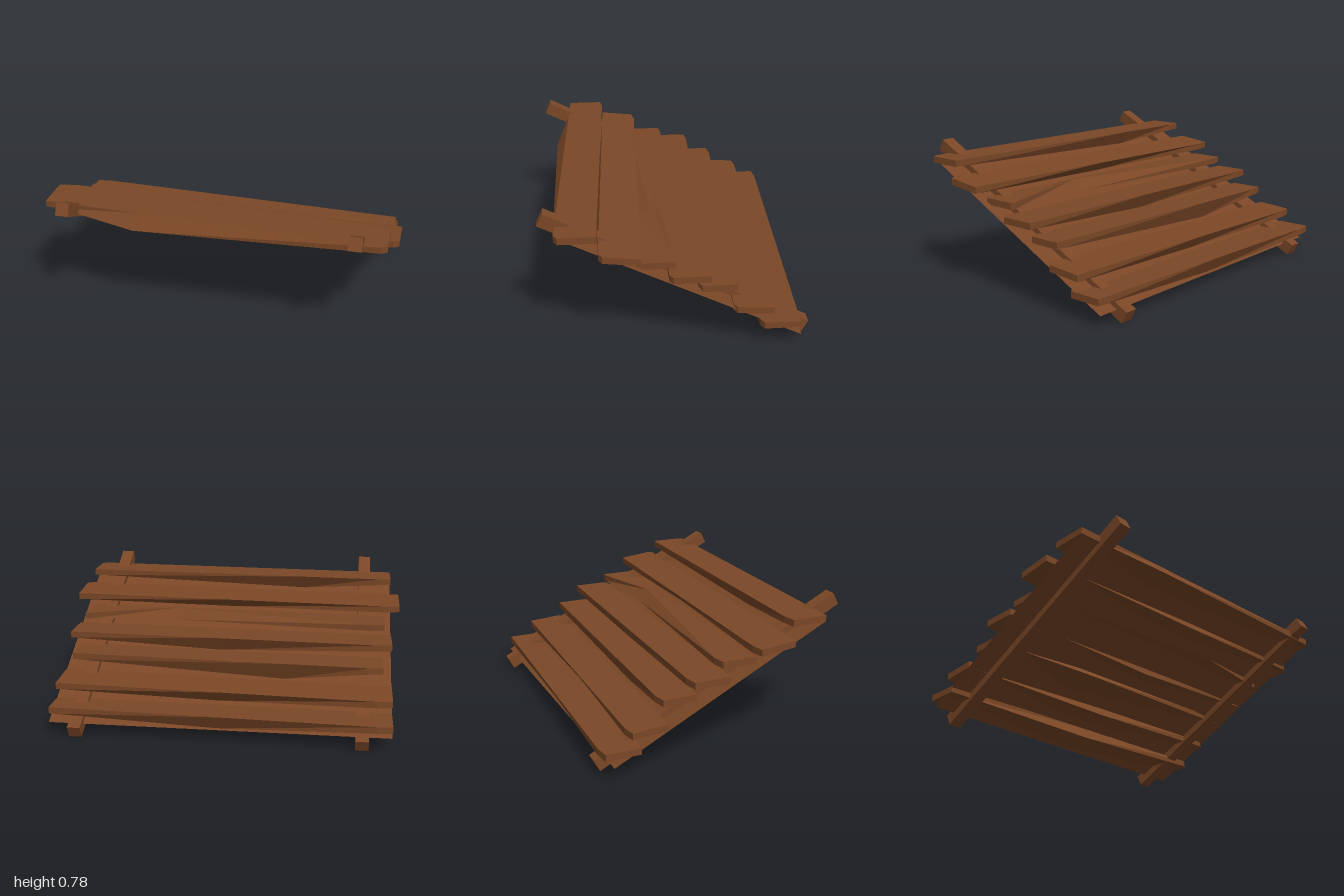
import * as THREE from 'three';

const SLOPE = THREE.MathUtils.degToRad(27);
const THICK = 0.037;

// half: half length; front/back: z of the edges at the right (+x) end;
// skew: z shift of the -x end; top: y of the upper front edge; tilt: y drop per unit of z
// midX, sagZ, sagY: the chipped point of the lower front edge
// notch: optional [x, y, z] moved point of the upper back edge
const PLANKS = [
  { half: 0.95, front: 0.635, back: 0.42, skew: -0.075, top: 0.708, tilt: 0, midX: -0.42, sagZ: 0.64, sagY: 0.63 },
  { half: 1.0, front: 0.415, back: 0.2, skew: -0.07, top: 0.622, tilt: 0.11, midX: 0.05, sagZ: 0.42, sagY: 0.545 },
  { half: 0.91, front: 0.235, back: 0.02, skew: -0.065, top: 0.522, tilt: 0, midX: 0.35, sagZ: 0.29, sagY: 0.492, notch: [0.35, 0.548, 0.11] },
  { half: 0.95, front: 0.055, back: -0.165, skew: -0.06, top: 0.452, tilt: 0, midX: 0.05, sagZ: 0.045, sagY: 0.37 },
  { half: 0.9, front: -0.105, back: -0.31, skew: -0.07, top: 0.364, tilt: 0, midX: -0.35, sagZ: -0.03, sagY: 0.262 },
  { half: 0.95, front: -0.285, back: -0.5, skew: -0.07, top: 0.258, tilt: 0.07, midX: 0, sagZ: -0.275, sagY: 0.178 },
  { half: 0.95, front: -0.435, back: -0.645, skew: -0.07, top: 0.15, tilt: 0, midX: 0, sagZ: -0.42, sagY: 0.07 },
];

// Loft a plank through four-cornered sections from -x to +x
function plankGeometry(p) {
  const stations = [-p.half, -p.half + 0.08, p.midX, p.half - 0.03, p.half];
  const sections = stations.map((x, i) => {
    const shift = p.skew * (p.half - x) / (2 * p.half);
    const zf = p.front + shift - (i === 4 ? 0.02 : 0);
    const zb = p.back + shift + (i === 0 ? 0.015 : 0);
    const yAt = (z) => p.top - p.tilt * (p.front - z);
    const s = [
      [x, yAt(zf), zf], [x, yAt(zb), zb],
      [x, yAt(zb) - THICK, zb], [x, yAt(zf) - THICK, zf],
    ];
    if (i === 2) {
      s[3] = [x, p.sagY, p.sagZ];
      s[2] = [x, p.sagY, zb + 0.04];
      if (p.notch) s[1] = p.notch;
    }
    return s;
  });
  const pos = [];
  const quad = (a, b, c, d) => pos.push(...a, ...b, ...c, ...a, ...c, ...d);
  for (let i = 0; i < sections.length - 1; i++) {
    const a = sections[i], b = sections[i + 1];
    for (let k = 0; k < 4; k++) {
      const n = (k + 1) % 4;
      quad(a[k], b[k], b[n], a[n]);
    }
  }
  const [l, r] = [sections[0], sections[4]];
  quad(l[0], l[1], l[2], l[3]);
  quad(r[3], r[2], r[1], r[0]);
  const g = new THREE.BufferGeometry();
  g.setAttribute('position', new THREE.Float32BufferAttribute(pos, 3));
  g.computeVertexNormals();
  return g;
}

export function createModel() {
  const model = new THREE.Group();
  model.name = 'plankRoof';
  const wood = new THREE.MeshStandardMaterial({ color: 0x7a4726, flatShading: true, side: THREE.DoubleSide });
  wood.name = 'brown wood';

  const add = (name, geometry) => {
    const mesh = new THREE.Mesh(geometry, wood);
    mesh.name = name;
    model.add(mesh);
    return mesh;
  };

  // Two sloping beams, high at the front
  for (const side of [-1, 1]) {
    const beam = add(side > 0 ? 'leftBeam' : 'rightBeam', new THREE.BoxGeometry(0.073, 0.073, 1.577));
    beam.position.set(side * 0.79, 0.39, 0);
    beam.rotation.x = -SLOPE;
  }

  // Thin backing sheet running through the beams
  const zBack = -0.655, zFront = 0.55, yBack = 0.065, yFront = 0.67;
  const sheet = add('backingSheet', new THREE.PlaneGeometry(1.9, Math.hypot(zFront - zBack, yFront - yBack)));
  sheet.position.set(0, (yBack + yFront) / 2, (zBack + zFront) / 2);
  sheet.rotation.x = -Math.PI / 2 - Math.atan2(yFront - yBack, zFront - zBack);

  // Rough planks stepping down to the back
  PLANKS.forEach((p, i) => add(`plank${i + 1}`, plankGeometry(p)));

  return model;
}
